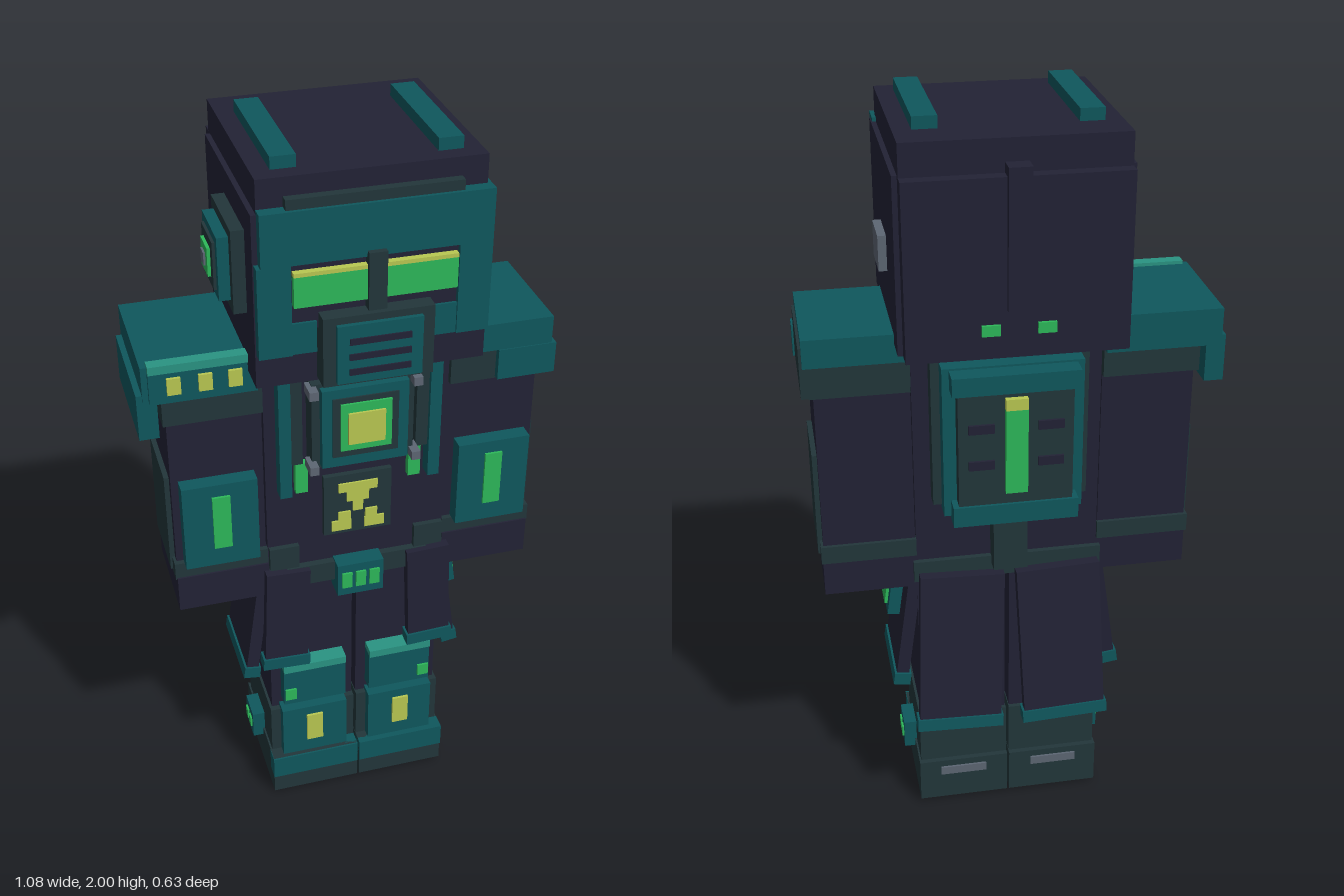
import * as THREE from 'three';

const mat = (name, color) => {
  const m = new THREE.MeshStandardMaterial({ color });
  m.name = name;
  return m;
};

export function createModel() {
  const navy = mat('navy cloth', 0x222235), slate = mat('dark slate', 0x22363a), teal = mat('teal armour', 0x0f575d);
  const mint = mat('light teal edge', 0x2a9483), green = mat('green glow', 0x2db85a);
  const lime = mat('yellow glow', 0xb9c852), grey = mat('grey metal', 0x5d6673);

  const root = new THREE.Group();
  root.name = 'armouredFigure';
  const group = (name, parent = root) => {
    const g = new THREE.Group();
    g.name = name;
    parent.add(g);
    return g;
  };
  // the figure's middle plane lies slightly off the overall centre
  const figure = group('figure');
  figure.position.x = 0.015;

  // box between bounds
  const box = (p, name, m, x0, x1, y0, y1, z0, z1) => {
    const mesh = new THREE.Mesh(new THREE.BoxGeometry(Math.abs(x1 - x0), y1 - y0, z1 - z0), m);
    mesh.position.set((x0 + x1) / 2, (y0 + y1) / 2, (z0 + z1) / 2);
    mesh.name = name;
    p.add(mesh);
    return mesh;
  };
  // coat panel hanging from its top edge, with a coloured hem
  const panel = (p, name, x, y, z, w, len, d, rx, rz) => {
    const g = group(name, p);
    g.position.set(x, y, z);
    g.rotation.set(rx, 0, rz);
    box(g, 'panelCloth', navy, -w / 2, w / 2, -len, 0, -d / 2, d / 2);
    box(g, 'panelHem', teal, -w / 2 - 0.006, w / 2 + 0.006, -len - 0.005, -len + 0.03, -d / 2 - 0.006, d / 2 + 0.006);
    return g;
  };

  // ---- head ----
  const head = group('head', figure);
  box(head, 'hood', navy, -0.27, 0.27, 1.45, 1.97, -0.27, 0.235);
  box(head, 'hoodSides', navy, -0.283, 0.283, 1.45, 1.89, -0.25, 0.24);
  box(head, 'hoodBack', navy, -0.27, 0.27, 1.45, 1.89, -0.302, -0.26);
  box(head, 'hoodBackRidge', navy, -0.028, 0.028, 1.57, 1.915, -0.316, -0.26);
  box(head, 'browTrim', slate, -0.208, 0.208, 1.885, 1.925, 0.2, 0.258);
  box(head, 'browPlate', teal, -0.27, 0.28, 1.77, 1.9, 0.2, 0.267);
  box(head, 'eyeRecess', navy, -0.2, 0.2, 1.6, 1.77, 0.2, 0.255);
  for (const s of [-1, 1]) {
    box(head, 'roofStrip', teal, s * 0.165, s * 0.225, 1.96, 2.0, -0.17, 0.19);
    box(head, 'cheekPlate', teal, s * 0.2, s * 0.28, 1.54, 1.77, 0.2, 0.267);
    box(head, 'cheekStep', teal, s * 0.14, s * 0.2, 1.54, 1.62, 0.2, 0.262);
    box(head, 'eye', green, s * 0.022, s * 0.196, 1.665, 1.742, 0.25, 0.272);
    box(head, 'eyeGlint', lime, s * 0.022, s * 0.196, 1.742, 1.752, 0.25, 0.272);
    box(head, 'rearLight', green, s * 0.045, s * 0.09, 1.51, 1.537, -0.31, -0.3);
  }
  box(head, 'noseBridge', slate, -0.022, 0.022, 1.63, 1.785, 0.24, 0.282);
  box(head, 'maskBase', slate, -0.135, 0.135, 1.46, 1.64, 0.22, 0.296);
  box(head, 'maskFront', teal, -0.104, 0.104, 1.47, 1.622, 0.28, 0.308);
  for (const y of [1.5, 1.54, 1.58])
    box(head, 'maskSlot', navy, -0.075, 0.075, y - 0.008, y + 0.008, 0.305, 0.312);
  box(head, 'sideBlock', grey, 0.28, 0.304, 1.6, 1.69, -0.077, 0.042);

  // layered ear device on the right side
  const ear = group('earDevice', head);
  [[slate, -0.315, 0.105], [teal, -0.343, 0.08], [slate, -0.35, 0.06], [green, -0.358, 0.036], [grey, -0.363, 0.016]]
    .forEach(([m, x, r]) => box(ear, 'earLayer', m, -0.28, x, 1.72 - r, 1.72 + r, 0.064 - r, 0.064 + r));

  // ---- torso ----
  const torso = group('torso', figure);
  box(torso, 'chest', navy, -0.243, 0.243, 0.8, 1.45, -0.145, 0.12);
  box(torso, 'collar', slate, -0.1, 0.1, 1.385, 1.46, 0.1, 0.16);
  box(torso, 'collarRing', teal, -0.243, 0.243, 1.45, 1.475, -0.16, 0.145);
  for (const s of [-1, 1]) {
    box(torso, 'strap', teal, s * 0.182, s * 0.213, 1.06, 1.42, 0.1, 0.16);
    box(torso, 'strapInner', slate, s * 0.15, s * 0.182, 1.15, 1.42, 0.1, 0.148);
    box(torso, 'strapLight', green, s * 0.135, s * 0.168, 1.055, 1.145, 0.1, 0.14);
    for (const y of [1.16, 1.38])
      box(torso, 'bolt', grey, s * 0.122, s * 0.145, y - 0.012, y + 0.012, 0.15, 0.205);
  }
  box(torso, 'reactorBase', slate, -0.133, 0.133, 1.15, 1.395, 0.1, 0.175);
  box(torso, 'reactorFrame', teal, -0.112, 0.112, 1.16, 1.385, 0.15, 0.197);
  box(torso, 'reactorRecess', slate, -0.085, 0.085, 1.19, 1.36, 0.19, 0.201);
  box(torso, 'reactorGlow', green, -0.066, 0.066, 1.21, 1.345, 0.19, 0.207);
  box(torso, 'reactorCore', lime, -0.048, 0.048, 1.23, 1.32, 0.2, 0.213);

  // belly plate with a trefoil sign
  box(torso, 'bellyPlate', slate, -0.092, 0.092, 0.9, 1.085, 0.1, 0.135);
  const sign = group('trefoil', torso);
  [[-0.053, 0.053, 1.033, 1.06], [-0.03, 0.03, 1.002, 1.033], [-0.014, 0.014, 0.97, 1.002],
    [-0.053, -0.02, 0.943, 0.97], [0.02, 0.053, 0.943, 0.97], [-0.072, -0.018, 0.912, 0.943], [0.018, 0.072, 0.912, 0.943]]
    .forEach(([a, b, c, d]) => box(sign, 'trefoilPixel', lime, a, b, c, d, 0.133, 0.14));

  // belt and buckle
  box(torso, 'belt', slate, -0.252, 0.252, 0.75, 0.81, -0.16, 0.14);
  for (const s of [-1, 1]) box(torso, 'beltPouch', slate, s * 0.16, s * 0.24, 0.8, 0.88, 0.1, 0.135);
  box(torso, 'buckle', teal, -0.064, 0.064, 0.715, 0.815, 0.1, 0.17);
  for (const x of [-0.038, 0, 0.038])
    box(torso, 'buckleLight', green, x - 0.014, x + 0.014, 0.742, 0.79, 0.165, 0.176);

  // ---- backpack ----
  const pack = group('backpack', figure);
  box(pack, 'packMount', slate, -0.2, 0.2, 1.0, 1.42, -0.19, -0.13);
  box(pack, 'packFrame', teal, -0.178, 0.178, 0.99, 1.4, -0.235, -0.18);
  box(pack, 'packBody', slate, -0.145, 0.145, 1.02, 1.37, -0.272, -0.2);
  box(pack, 'packTop', teal, -0.16, 0.16, 1.345, 1.395, -0.285, -0.2);
  box(pack, 'packBottom', teal, -0.16, 0.16, 0.98, 1.035, -0.28, -0.2);
  box(pack, 'packGauge', green, -0.028, 0.028, 1.07, 1.3, -0.287, -0.26);
  box(pack, 'packGaugeTop', lime, -0.028, 0.028, 1.3, 1.33, -0.287, -0.26);
  for (const s of [-1, 1]) for (const y of [1.15, 1.25])
    box(pack, 'packVent', navy, s * 0.055, s * 0.12, y - 0.012, y + 0.012, -0.279, -0.27);
  box(pack, 'packLink', slate, -0.045, 0.045, 0.79, 0.98, -0.2, -0.13);

  // ---- arms ----
  for (const s of [-1, 1]) {
    const arm = group(s > 0 ? 'leftArm' : 'rightArm', figure);
    box(arm, 'sleeve', navy, s * 0.245, s * 0.485, 0.8, 1.42, -0.145, 0.11);
    box(arm, 'hand', navy, s * 0.243, s * 0.488, 0.73, 0.835, -0.146, 0.13);
    box(arm, 'cuff', slate, s * 0.243, s * 0.492, 0.83, 0.88, -0.155, 0.125);
    box(arm, 'upperBand', slate, s * 0.245, s * 0.495, 1.31, 1.41, -0.16, 0.13);
    box(arm, 'outerPanel', slate, s * 0.48, s * 0.498, 0.84, 1.13, -0.115, 0.088);
    box(arm, 'forearmPlate', teal, s * 0.27, s * 0.466, 0.88, 1.13, 0.1, 0.153);
    box(arm, 'forearmLight', green, s * 0.343, s * 0.39, 0.937, 1.095, 0.15, 0.16);
  }
  // left shoulder
  const ls = group('leftShoulder', figure);
  box(ls, 'shoulderCap', teal, 0.245, 0.508, 1.4, 1.475, -0.176, 0.145);
  box(ls, 'shoulderSide', slate, 0.4, 0.515, 1.315, 1.45, -0.165, 0.115);
  box(ls, 'shoulderFront', teal, 0.365, 0.52, 1.315, 1.4, 0.1, 0.148);
  // right shoulder, heavier
  const rs = group('rightShoulder', figure);
  box(rs, 'shoulderCap', teal, -0.54, -0.245, 1.39, 1.488, -0.19, 0.14);
  box(rs, 'shoulderSide', teal, -0.555, -0.505, 1.285, 1.41, -0.175, 0.135);
  box(rs, 'shoulderFront', teal, -0.525, -0.26, 1.39, 1.475, 0.13, 0.152);
  box(rs, 'shoulderEdge', mint, -0.525, -0.26, 1.475, 1.497, 0.125, 0.157);
  for (const x of [-0.465, -0.388, -0.315])
    box(rs, 'shoulderLight', lime, x - 0.017, x + 0.017, 1.415, 1.46, 0.15, 0.16);

  // ---- legs, boots and coat tails ----
  for (const s of [-1, 1]) {
    const leg = group(s > 0 ? 'leftLeg' : 'rightLeg', figure);
    box(leg, 'trouser', navy, s * 0.006, s * 0.243, 0.25, 0.78, -0.143, 0.108);
    box(leg, 'kneePlate', teal, s * 0.035, s * 0.215, 0.33, 0.455, 0.09, 0.148);
    box(leg, 'kneeEdge', mint, s * 0.035, s * 0.215, 0.452, 0.475, 0.09, 0.154);
    box(leg, 'kneeLight', green, s * 0.18, s * 0.212, 0.35, 0.387, 0.145, 0.154);
    box(leg, 'boot', slate, s * 0.004, s * 0.25, 0.07, 0.295, -0.155, 0.125);
    box(leg, 'sole', slate, s * 0.003, s * 0.255, 0.01, 0.14, -0.17, 0.165);
    box(leg, 'toeCap', teal, s * 0.003, s * 0.256, 0.07, 0.14, 0.125, 0.17);
    box(leg, 'shinPlate', teal, s * 0.033, s * 0.222, 0.14, 0.308, 0.1, 0.153);
    box(leg, 'shinLight', lime, s * 0.105, s * 0.152, 0.187, 0.28, 0.15, 0.16);
    box(leg, 'heelStrip', grey, s * 0.065, s * 0.195, 0.095, 0.12, -0.176, -0.165);
    box(leg, 'ankleBox', teal, s * 0.25, s * 0.285, 0.115, 0.2, -0.055, 0.032);
    for (const z of [-0.03, 0.007])
      box(leg, 'ankleLight', green, s * 0.28, s * 0.29, 0.143, 0.175, z - 0.012, z + 0.012);
    for (const z of [-0.12, -0.03, 0.06, 0.13])
      box(leg, 'tread', slate, s * 0.015, s * 0.243, 0, 0.015, z - 0.022, z + 0.022);

    const tails = group(s > 0 ? 'leftCoatTails' : 'rightCoatTails', figure);
    panel(tails, 'frontTail', s * 0.195, 0.81, 0.142, 0.12, 0.32, 0.03, 0, s * 0.04);
    panel(tails, 'backTail', s * 0.128, 0.78, -0.187, 0.225, 0.465, 0.034, 0.085, s * 0.04);
    const side = panel(tails, 'sideTail', s * 0.243, 0.78, -0.025, 0.034, 0.37, 0.23, 0, s * 0.14);
    // hip device on the left only
    if (s > 0) {
      box(side, 'hipMount', grey, 0, 0.045, -0.085, -0.05, -0.052, 0.078);
      box(side, 'hipDevice', teal, 0, 0.05, -0.195, -0.085, -0.042, 0.072);
      box(side, 'hipLight', green, 0.04, 0.058, -0.175, -0.11, -0.018, 0.046);
    }
  }
  return root;
}
